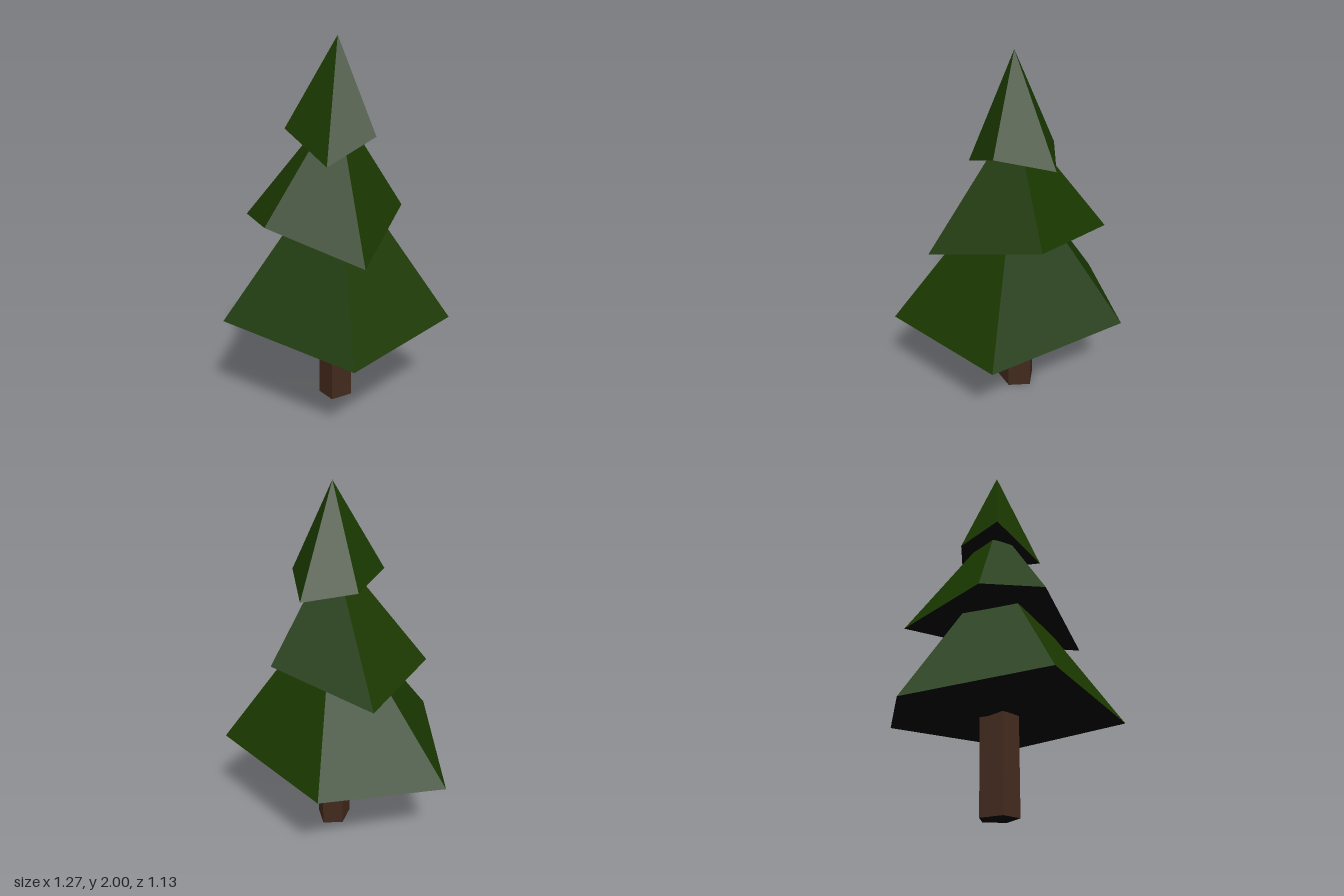
import * as THREE from 'three';

const AXIS = [0.05, 0.02]; // x, z of the tree's centre line

// Triangles joining one point to each edge of a rim (clockwise from above)
function fanGeometry(y, rim, facesDown) {
  const centre = [AXIS[0], y, AXIS[1]];
  const positions = [];
  rim.forEach((corner, i) => {
    const next = rim[(i + 1) % rim.length];
    const edge = facesDown ? [corner, next] : [next, corner];
    positions.push(...centre, ...edge[0], ...edge[1]);
  });
  const geometry = new THREE.BufferGeometry();
  geometry.setAttribute('position', new THREE.Float32BufferAttribute(positions, 3));
  geometry.computeVertexNormals();
  return geometry;
}

function makeMaterial(name, color) {
  const material = new THREE.MeshStandardMaterial({ color, flatShading: true });
  material.name = name;
  return material;
}

export function createModel() {
  const tree = new THREE.Group();
  tree.name = 'pineTree';

  const needles = makeMaterial('needle green', 0x1a3800);
  const bark = makeMaterial('bark brown', 0x42291c);
  const underside = makeMaterial('underside black', 0x000000);

  // Five-sided trunk, slightly deeper than wide, with black ends
  const trunkGeometry = new THREE.CylinderGeometry(0.094, 0.094, 0.62, 5);
  trunkGeometry.rotateY(Math.PI / 2);
  trunkGeometry.scale(1, 1, 1.18);
  const trunk = new THREE.Mesh(trunkGeometry, [bark, underside, underside]);
  trunk.name = 'trunk';
  trunk.position.set(AXIS[0], 0.31, AXIS[1]);
  tree.add(trunk);

  // Foliage tiers: apex height and ragged rim corners
  const tiers = [
    ['lowerFoliage', 1.39, [
      [-0.07, 0.52, -0.565], [0.635, 0.535, -0.16], [0.448, 0.517, 0.563],
      [-0.347, 0.567, 0.523], [-0.635, 0.44, -0.13]]],
    ['middleFoliage', 1.67, [
      [-0.29, 0.967, -0.352], [0.292, 1.083, -0.26], [0.39, 0.955, 0.35],
      [-0.152, 1.085, 0.403], [-0.425, 1.037, 0.17]]],
    ['upperFoliage', 2, [
      [0.126, 1.455, -0.248], [0.271, 1.52, 0.02], [0.12, 1.4, 0.25],
      [-0.186, 1.533, 0.147], [-0.13, 1.483, -0.11]]],
  ];
  for (const [name, apexY, rim] of tiers) {
    const baseY = rim.reduce((sum, corner) => sum + corner[1], 0) / rim.length;
    const tier = new THREE.Group();
    tier.name = name;
    const slopes = new THREE.Mesh(fanGeometry(apexY, rim, false), needles);
    slopes.name = name + 'Slopes';
    const base = new THREE.Mesh(fanGeometry(baseY, rim, true), underside);
    base.name = name + 'Underside';
    tier.add(slopes, base);
    tree.add(tier);
  }
  return tree;
}
